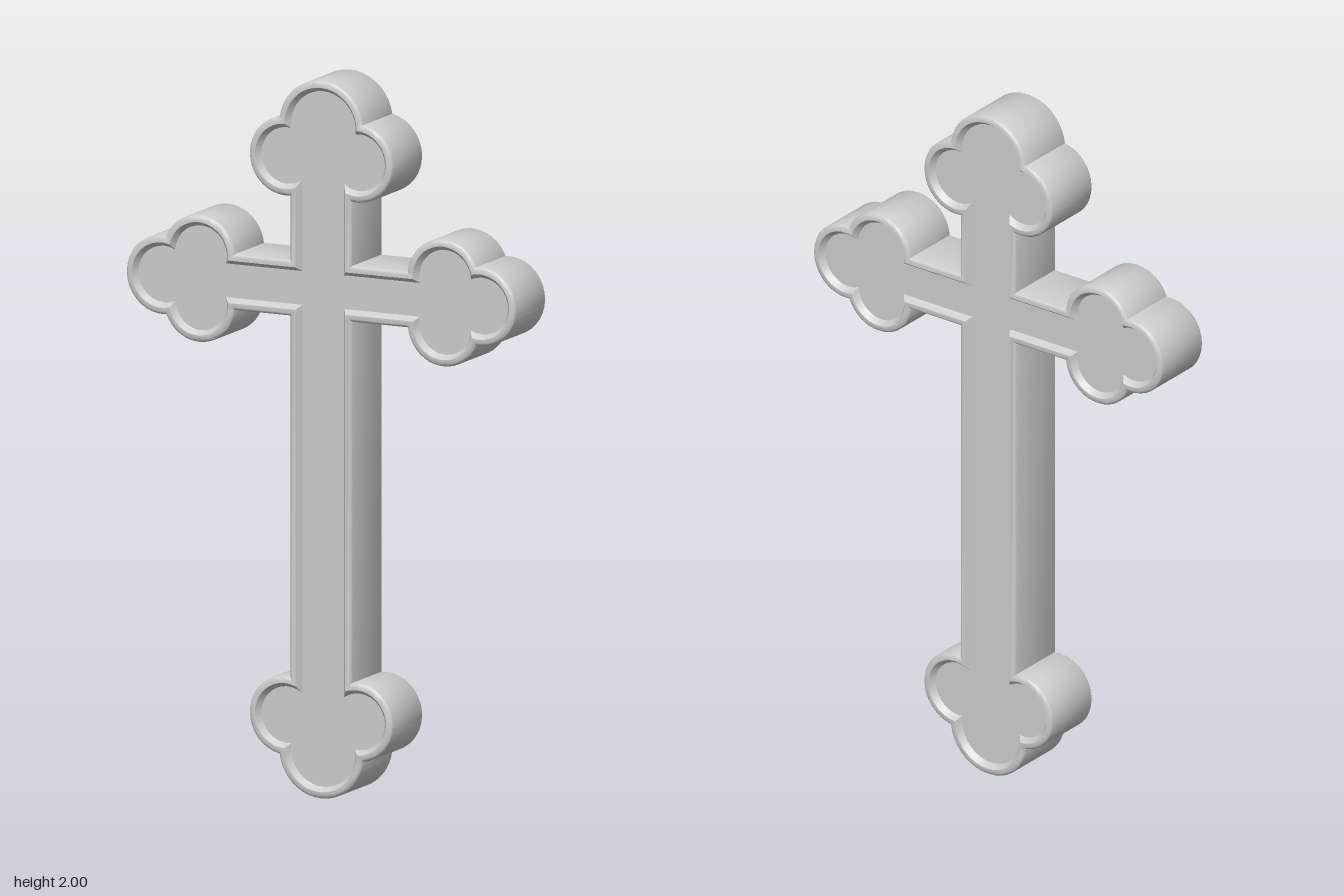
import * as THREE from 'three';
import { toCreasedNormals } from 'three/addons/utils/BufferGeometryUtils.js';

const CENTRE_Y = 1.415; // height where the bars cross
const SEG = 18;         // segments per lobe arc

// Arms, counter-clockwise. w: half width, u: distance along arm, v: distance across, r: radius
const side = { w: 0.078, tip: { u: 0.487, r: 0.11 }, lobe: { u: 0.374, v: 0.067, r: 0.11 } };
const ARMS = [
  { angle: 0, ...side },
  { angle: Math.PI / 2, w: 0.095, tip: { u: 0.455, r: 0.13 }, lobe: { u: 0.365, v: 0.11, r: 0.11 } },
  { angle: Math.PI, ...side },
  { angle: -Math.PI / 2, w: 0.095, tip: { u: 1.285, r: 0.13 }, lobe: { u: 1.193, v: 0.11, r: 0.11 } },
];

function arc(cx, cy, r, from, to) {
  return Array.from({ length: SEG + 1 }, (_, i) => {
    const a = from + (to - from) * i / SEG;
    return new THREE.Vector2(cx + r * Math.cos(a), cy + r * Math.sin(a));
  });
}

// Trefoil end of one arm, inset by d
function armOutline({ w, tip, lobe, angle }, d) {
  const R = tip.r - d, r = lobe.r - d;
  // where the tip lobe meets a side lobe
  const T = new THREE.Vector2(tip.u, 0), S = new THREE.Vector2(lobe.u, lobe.v);
  const D = T.distanceTo(S), e = S.clone().sub(T).divideScalar(D);
  const a = (R * R - r * r + D * D) / (2 * D), h = Math.sqrt(R * R - a * a);
  const P = new THREE.Vector2(T.x + e.x * a + e.y * h, T.y + e.y * a - e.x * h);
  // where the side lobe meets the straight bar
  const dv = w - d - lobe.v, du = -Math.sqrt(r * r - dv * dv);
  const start = Math.atan2(P.y - S.y, P.x - S.x);
  let end = Math.atan2(dv, du);
  if (end < start) end += 2 * Math.PI;

  const upper = arc(S.x, S.y, r, start, end);
  const lower = upper.map((p) => new THREE.Vector2(p.x, -p.y)).reverse();
  const t = Math.atan2(P.y, P.x - T.x);
  const middle = arc(T.x, 0, R, -t, t).slice(1, -1);
  return [...lower, ...middle, ...upper].map((p) => p.rotateAround(new THREE.Vector2(), angle));
}

// Whole cross outline, inset by d
function outline(d) {
  const points = [];
  ARMS.forEach((arm, i) => {
    points.push(...armOutline(arm, d));
    const x = 0.095 - d, y = side.w - d; // inner corner after each arm
    points.push(new THREE.Vector2(i === 0 || i === 3 ? x : -x, i < 2 ? y : -y));
  });
  points.forEach((p) => { p.y += CENTRE_Y; });
  return points;
}

// Rim section: [inset, z] from recess floor over the rim to the outer wall
const FLOOR_Z = 0.077, INSET = 0.031;
const HALF = [[INSET, FLOOR_Z], [0.019, 0.094], [0.008, 0.094], [0.003, 0.091], [0, 0.086]];
const SECTION = [...HALF, ...HALF.map(([d, z]) => [d, -z]).reverse()];

function geometryFrom(positions) {
  const g = new THREE.BufferGeometry();
  g.setAttribute('position', new THREE.Float32BufferAttribute(positions, 3));
  g.computeVertexNormals();
  return g;
}

function rimGeometry() {
  const rings = SECTION.map(([d, z]) => outline(d).map((p) => [p.x, p.y, z]));
  const n = rings[0].length, pos = [];
  for (let k = 0; k < rings.length - 1; k++) {
    for (let j = 0; j < n; j++) {
      const m = (j + 1) % n;
      const a = rings[k][j], b = rings[k][m], c = rings[k + 1][j], e = rings[k + 1][m];
      pos.push(...a, ...c, ...e, ...a, ...e, ...b);
    }
  }
  return toCreasedNormals(geometryFrom(pos), 0.6);
}

export function createModel() {
  const group = new THREE.Group();
  group.name = 'trefoilCross';
  const material = new THREE.MeshStandardMaterial({ color: 0xcccccc });
  const add = (name, geometry) => {
    const mesh = new THREE.Mesh(geometry, material);
    mesh.name = name;
    group.add(mesh);
    return mesh;
  };

  // Raised rim and outer walls
  add('rimAndWalls', rimGeometry());

  // Recessed flat faces, front and back
  const panel = new THREE.ShapeGeometry(new THREE.Shape(outline(INSET)));
  add('frontPanel', panel).position.z = FLOOR_Z;
  const back = add('backPanel', panel);
  back.rotation.y = Math.PI;
  back.position.z = -FLOOR_Z;

  return group;
}
